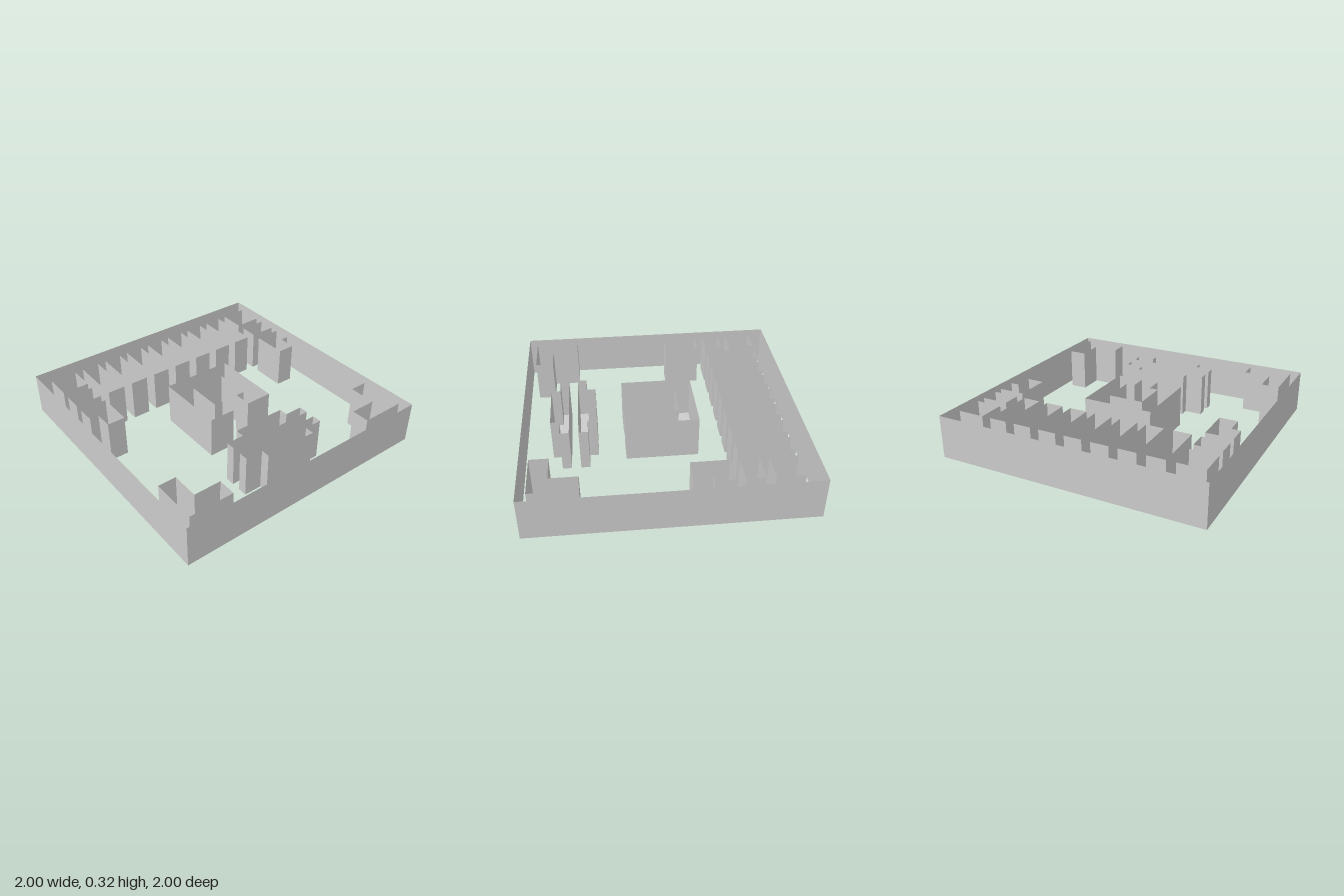
import * as THREE from 'three';
import { mergeGeometries } from 'three/addons/utils/BufferGeometryUtils.js';

const U = 1 / 15;   // plan grid unit
const H = 0.32;     // wall height

// Thin upright walls along a closed plan outline of [x, z] points, with an optional floor
function shell(outline, withFloor = true) {
  let pts = outline.map(([x, z]) => new THREE.Vector2(x * U, z * U));
  if (THREE.ShapeUtils.isClockWise(pts)) pts = pts.reverse();
  const pos = [];
  pts.forEach((a, i) => {
    const b = pts[(i + 1) % pts.length];
    pos.push(a.x, 0, a.y, a.x, H, a.y, b.x, H, b.y);
    pos.push(a.x, 0, a.y, b.x, H, b.y, b.x, 0, b.y);
  });
  const walls = new THREE.BufferGeometry();
  walls.setAttribute('position', new THREE.Float32BufferAttribute(pos, 3));
  walls.computeVertexNormals();
  if (!withFloor) return walls;
  const floor = new THREE.ShapeGeometry(new THREE.Shape(pts)).rotateX(Math.PI / 2).toNonIndexed();
  floor.deleteAttribute('uv');
  return mergeGeometries([walls, floor]);
}

const rect = (x0, z0, x1, z1) => [[x0, z0], [x1, z0], [x1, z1], [x0, z1]];

export function createModel() {
  const model = new THREE.Group();
  model.name = 'walledLayout';
  const material = new THREE.MeshStandardMaterial({
    color: 0xcccccc, flatShading: true, side: THREE.DoubleSide,
  });
  const add = (name, outline, withFloor) => {
    const mesh = new THREE.Mesh(shell(outline, withFloor), material);
    mesh.name = name;
    model.add(mesh);
  };

  // Thin surrounding wall, open above and below
  add('outerWall', rect(-15, -15, 15, 15), false);

  // Row of long narrow bays along the back
  for (let k = -3; k <= 3; k++) add(`backBay${k + 4}`, rect(3 * k - 1, -13, 3 * k + 1, -7));

  // Mirrored blocks at both sides
  for (const [side, s] of [['left', 1], ['right', -1]]) {
    const mirror = (pts) => pts.map(([x, z]) => [s * x, z]);
    add(`${side}BackBlock`, mirror(rect(11, -13, 14, -10)));
    add(`${side}MiddleBlock`, mirror(rect(11, -9, 14, -7)));
    add(`${side}NotchedBlock`, mirror([[11, -6], [14, -6], [14, -4], [13, -4], [13, -2], [11, -2]]));
    add(`${side}FrontCorner`, mirror([[12, 9], [14, 9], [14, 14], [9, 14], [9, 12], [12, 12]]));
  }

  // Central enclosure, open to the front
  add('centralEnclosure', [
    [-4, -4], [4, -4], [4, 4], [1, 4], [1, 2], [2, 2],
    [2, -2], [-2, -2], [-2, 2], [-1, 2], [-1, 4], [-4, 4],
  ]);

  // Two stepped blocks facing each other across a narrow aisle
  for (const [name, s] of [['rearSteppedBlock', -1], ['frontSteppedBlock', 1]]) {
    const z = (d) => 9.5 + s * d;
    add(name, [
      [-5, z(0.5)], [5, z(0.5)], [5, z(1.5)], [3, z(1.5)],
      [3, z(2.5)], [-3, z(2.5)], [-3, z(1.5)], [-5, z(1.5)],
    ]);
  }
  return model;
}
